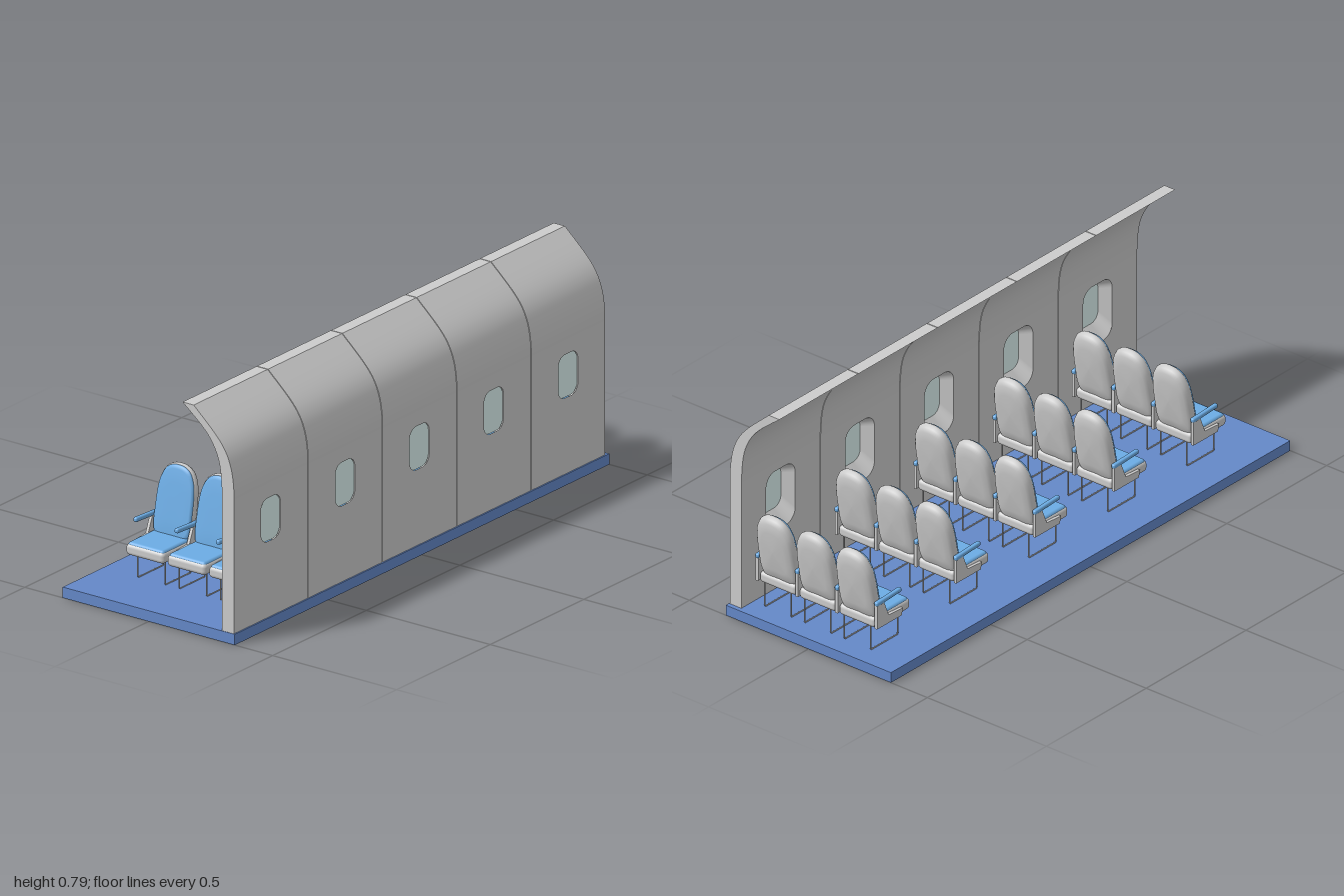
import * as THREE from 'three';
import { toCreasedNormals } from 'three/addons/utils/BufferGeometryUtils.js';
import { RoundedBoxGeometry } from 'three/addons/geometries/RoundedBoxGeometry.js';

const paint = (color, side = THREE.FrontSide) => new THREE.MeshStandardMaterial({ color, side });
const grey = paint(0xcccccc), greyThin = paint(0xcccccc, THREE.DoubleSide);
const blue = paint(0x6cace4), floorBlue = paint(0x6488c8), glass = paint(0xe0f6f4, THREE.DoubleSide);

function add(parent, name, geometry, material, x = 0, y = 0, z = 0) {
  const mesh = new THREE.Mesh(geometry, material);
  mesh.name = name;
  mesh.position.set(x, y, z);
  parent.add(mesh);
  return mesh;
}

// Skin joining closed rings that all have the same number of points
function loft(rings) {
  const n = rings[0].length, index = [];
  for (let i = 0; i < rings.length - 1; i++) {
    for (let j = 0; j < n; j++) {
      const a = i * n + j, b = i * n + (j + 1) % n;
      index.push(a, b, b + n, a, b + n, a + n);
    }
  }
  const geo = new THREE.BufferGeometry().setFromPoints(rings.flat());
  geo.setIndex(index);
  geo.computeVertexNormals();
  return geo;
}

function roundedRect(w, h, r, cy) {
  const s = new THREE.Shape(), x = w / 2 - r, y = h / 2 - r;
  s.absarc(x, cy + y, r, 0, Math.PI / 2);
  s.absarc(-x, cy + y, r, Math.PI / 2, Math.PI);
  s.absarc(-x, cy - y, r, Math.PI, Math.PI * 1.5);
  s.absarc(x, cy - y, r, Math.PI * 1.5, Math.PI * 2);
  s.closePath();
  return s;
}

// --- Cabin wall panel: flat lower part with a flared window, curved upper part
const IN = 0.295, OUT = 0.342, LOW = 0.017, BEND = 0.5, PITCH = 0.397, WIDTH = 0.394;

function createPanel() {
  const panel = new THREE.Group();
  panel.name = 'wallPanel';
  const outerHole = roundedRect(0.105, 0.15, 0.035, 0.375);
  const innerHole = roundedRect(0.145, 0.22, 0.045, 0.36);
  const border = [[-1, LOW], [1, LOW], [1, BEND], [-1, BEND]].map(([s, y]) => new THREE.Vector2(s * WIDTH / 2, y));
  const ringAt = (pts, x) => pts.map(p => new THREE.Vector3(x, p.y, p.x));

  for (const [name, hole, x, turn] of [['outerSkin', outerHole, OUT, 1], ['innerSkin', innerHole, IN, -1]]) {
    const sheet = new THREE.Shape(border);
    sheet.holes.push(hole);
    add(panel, name, new THREE.ShapeGeometry(sheet).rotateY(turn * Math.PI / 2), greyThin, x);
  }
  const edge = loft([ringAt(border, OUT), ringAt(border, IN)]);
  add(panel, 'panelEdge', toCreasedNormals(edge, 0.5), greyThin);
  const reveal = loft([ringAt(outerHole.getPoints(8), OUT), ringAt(innerHole.getPoints(8), IN)]);
  add(panel, 'windowReveal', reveal, greyThin);
  add(panel, 'windowPane', new THREE.ShapeGeometry(outerHole).rotateY(Math.PI / 2), glass, OUT - 0.004);

  // Curved shoulder
  const spline = pts => new THREE.SplineCurve(pts.map(p => new THREE.Vector2(...p))).getPoints(20);
  const outside = spline([[OUT, BEND], [0.341, 0.545], [0.331, 0.605], [0.308, 0.66], [0.266, 0.712], [0.18, 0.79]]);
  const inside = spline([[0.135, 0.79], [0.225, 0.715], [0.268, 0.655], [0.288, 0.59], [IN, BEND]]);
  const shoulder = new THREE.ExtrudeGeometry(new THREE.Shape([...outside, ...inside]), { depth: WIDTH, bevelEnabled: false });
  add(panel, 'shoulder', toCreasedNormals(shoulder, 0.5), grey, 0, 0, -WIDTH / 2);
  return panel;
}

// --- Seat outline, lofted through scaled rings given as [scale, z]
const HALF = [[0.074, 0.02], [0.077, 0.1], [0.075, 0.16], [0.068, 0.2], [0.05, 0.235], [0.025, 0.25]];
const outline = new THREE.CatmullRomCurve3([
  [0, 0], [0.06, 0], ...HALF, [0, 0.253],
  ...HALF.map(([x, y]) => [-x, y]).reverse(), [-0.06, 0],
].map(([x, y]) => new THREE.Vector3(x, y, 0)), true, 'centripetal').getPoints(56).slice(0, -1);

const padded = rings => loft(rings.map(([s, z]) =>
  outline.map(p => new THREE.Vector3(p.x * s, 0.125 + (p.y - 0.125) * s, z))));

const shellGeo = padded([[0, 0], [0.6, 0.002], [0.85, 0.007], [0.96, 0.016], [1, 0.027], [0.99, 0.036], [0.94, 0.04], [0, 0.04]]);
const cushionGeo = padded([[0.94, 0.032], [0.955, 0.039], [0.93, 0.045], [0.85, 0.048], [0.5, 0.049], [0, 0.049]]);
const baseGeo = new RoundedBoxGeometry(0.155, 0.04, 0.18, 4, 0.014);
const seatGeo = new RoundedBoxGeometry(0.145, 0.022, 0.155, 4, 0.01);

// U-shaped leg running front to back
const legPath = new THREE.CurvePath();
const legPts = [[0.13, 0.055], [0.04, 0.055], [0.04, 0.19], [0.13, 0.19]].map(([y, z]) => new THREE.Vector3(0, y, z));
for (let i = 0; i < 3; i++) legPath.add(new THREE.LineCurve3(legPts[i], legPts[i + 1]));
const legGeo = new THREE.TubeGeometry(legPath, 48, 0.0025, 6);

function createSeat() {
  const seat = new THREE.Group();
  seat.name = 'seat';
  add(seat, 'seatBase', baseGeo, grey, 0, 0.144, 0.14);
  add(seat, 'seatCushion', seatGeo, blue, 0, 0.158, 0.147);
  const back = new THREE.Group();
  back.name = 'backrest';
  back.position.set(0, 0.145, 0.05);
  back.rotation.x = -0.19;
  add(back, 'backShell', shellGeo, grey);
  add(back, 'backCushion', cushionGeo, blue);
  seat.add(back);
  for (const x of [-0.055, 0.055]) add(seat, 'leg', legGeo, grey, x);
  return seat;
}

// --- Armrest: side frame with a padded top
const frameShape = new THREE.Shape([[0.05, 0.13], [0.17, 0.13], [0.175, 0.152], [0.105, 0.157], [0.08, 0.218], [0.05, 0.218]]
  .map(([z, y]) => new THREE.Vector2(-z, y)));
const frameGeo = new THREE.ExtrudeGeometry(frameShape, { depth: 0.008, bevelSize: 0.002, bevelThickness: 0.002, bevelSegments: 2 })
  .rotateY(Math.PI / 2).translate(-0.004, 0, 0);
const padGeo = new RoundedBoxGeometry(0.016, 0.016, 0.125, 3, 0.006);

function createRow() {
  const row = new THREE.Group();
  row.name = 'seatRow';
  for (const x of [-0.147, 0.02, 0.187]) {
    const seat = createSeat();
    seat.position.x = x;
    row.add(seat);
  }
  for (const x of [-0.23, -0.064, 0.103, 0.27]) {
    add(row, 'armrestFrame', frameGeo, grey, x);
    add(row, 'armrestPad', padGeo, blue, x, 0.222, 0.108).rotation.x = -0.05;
  }
  return row;
}

export function createModel() {
  const model = new THREE.Group();
  model.name = 'cabinSection';
  add(model, 'floor', new THREE.BoxGeometry(0.694, 0.037, 2), floorBlue, 0, 0.0185, 0);
  for (let i = 0; i < 5; i++) {
    const panel = createPanel();
    panel.position.z = 0.801 - i * PITCH;
    const row = createRow();
    row.position.z = 0.6 - i * 0.396;
    model.add(panel, row);
  }
  return model;
}
